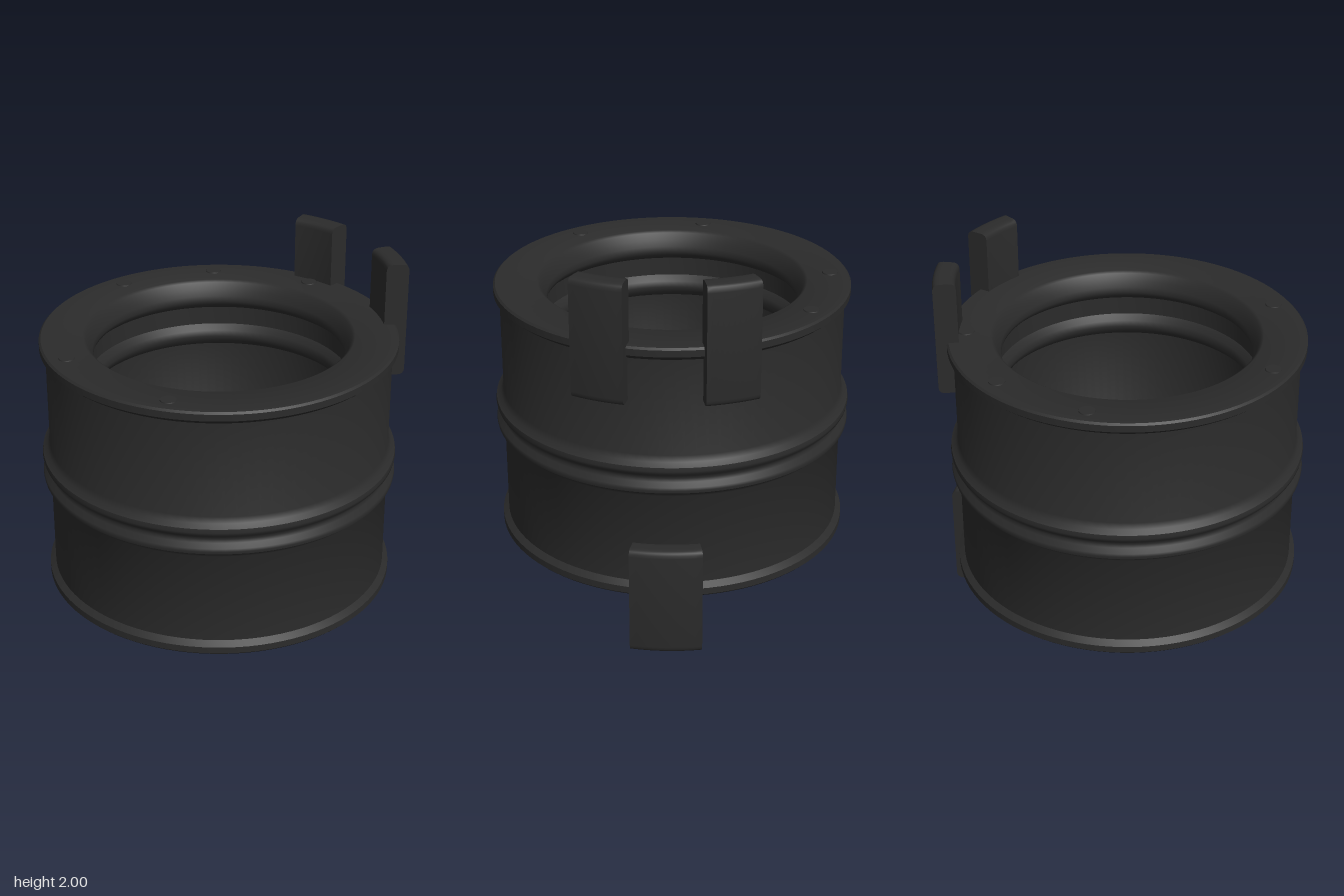
import * as THREE from 'three';
import { toCreasedNormals } from 'three/addons/utils/BufferGeometryUtils.js';

const CENTER_Z = 0.022; // axis of the ring; the tabs stick out behind it

export function createModel() {
  const model = new THREE.Group();
  model.name = 'ringCoupling';
  const charcoal = new THREE.MeshStandardMaterial({ color: 0x2b2b2b });
  charcoal.name = 'charcoal';

  const add = (name, geometry) => {
    const mesh = new THREE.Mesh(geometry, charcoal);
    mesh.name = name;
    model.add(mesh);
    return mesh;
  };

  // Hollow body: up the outside, over the rim, down the inside
  const profile = [
    [0.445, 0.30], [0.915, 0.30], [0.925, 0.31], [0.925, 0.345], [0.895, 0.37], // bottom flange
    [0.895, 0.865], [0.908, 0.885], [0.932, 0.90], [0.935, 0.915], [0.932, 0.93], // lower ridge
    [0.908, 0.95], [0.903, 0.968], [0.908, 0.985],
    [0.932, 1.005], [0.935, 1.02], [0.932, 1.04], [0.908, 1.06], [0.895, 1.09], // upper ridge
    [0.895, 1.60], [0.925, 1.625], [0.925, 1.66], [0.915, 1.67], // top flange
    [0.70, 1.67], [0.685, 1.66], [0.67, 1.62], [0.652, 1.59], [0.648, 1.56], [0.655, 1.54], // mouth
    [0.69, 1.51], [0.69, 1.41], [0.66, 1.38], [0.65, 1.35], [0.66, 1.32], [0.69, 1.29], // inner ring
    [0.69, 0.55], [0.65, 0.50], [0.47, 0.425], [0.45, 0.41], [0.445, 0.39], [0.445, 0.30], // floor and hole
  ].map(([r, y]) => new THREE.Vector2(r, y));
  const body = add('body', toCreasedNormals(new THREE.LatheGeometry(profile, 96), 0.7));
  body.position.z = CENTER_Z;

  // Curved tab: a rounded upright section swept around the axis (angles from the back, in degrees)
  const addTab = (name, from, to, y0, y1) => {
    const inner = 0.862, outer = 0.98, c = 0.035;
    const s = new THREE.Shape();
    s.moveTo(inner + c, y0);
    s.lineTo(outer - c, y0);
    s.quadraticCurveTo(outer, y0, outer, y0 + c);
    s.lineTo(outer, y1 - c);
    s.quadraticCurveTo(outer, y1, outer - c, y1);
    s.lineTo(inner + c, y1);
    s.quadraticCurveTo(inner, y1, inner, y1 - c);
    s.lineTo(inner, y0 + c);
    s.quadraticCurveTo(inner, y0, inner + c, y0);
    const g = new THREE.ExtrudeGeometry(s, { depth: 1, steps: 10, bevelEnabled: false, curveSegments: 4 });
    const p = g.attributes.position;
    for (let i = 0; i < p.count; i++) {
      const a = THREE.MathUtils.degToRad(from + (to - from) * p.getZ(i));
      const r = p.getX(i);
      p.setXYZ(i, r * Math.sin(a), p.getY(i), -r * Math.cos(a));
    }
    g.computeVertexNormals();
    add(name, toCreasedNormals(g, 0.7)).position.z = CENTER_Z;
  };
  addTab('upperTabRight', -17.8, -1.8, 1.38, 2.0);
  addTab('upperTabLeft', 21.5, 37.5, 1.38, 2.0);
  addTab('lowerTab', -1.2, 20.5, 0, 0.59);

  // Low pins set in the top rim
  const pin = new THREE.CylinderGeometry(0.04, 0.043, 0.008, 20);
  for (const deg of [140, 103, 64, 214, 264]) {
    const a = THREE.MathUtils.degToRad(deg - 36);
    const mesh = add('rimPin', pin);
    // angle is measured from +x towards the back
    mesh.position.set(0.825 * Math.cos(a + PIN_TURN), 1.671, CENTER_Z - 0.825 * Math.sin(a + PIN_TURN));
  }
  return model;
}

// Turn of the pin pattern about the axis
const PIN_TURN = THREE.MathUtils.degToRad(72);
